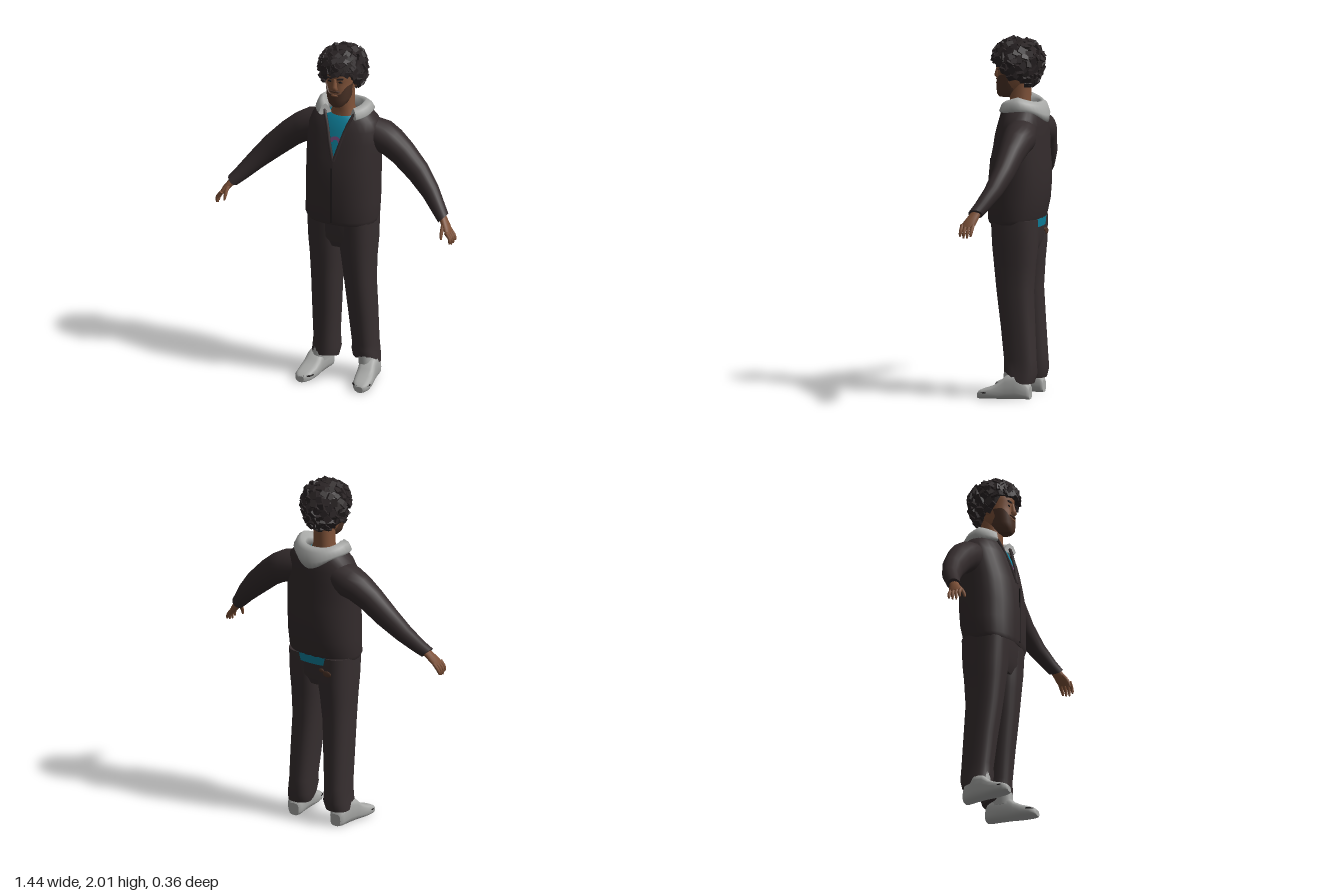
import * as THREE from 'three';
import { mergeGeometries } from 'three/addons/utils/BufferGeometryUtils.js';

const V = (x, y, z) => new THREE.Vector3(x, y, z);
const mat = (name, color, side = THREE.FrontSide) => {
  const m = new THREE.MeshStandardMaterial({ color, side });
  m.name = name;
  return m;
};

// Skin a list of rings; open rings leave a gap between last and first point
function loft(rings, { open = false, caps = true } = {}) {
  const n = rings[0].length, pos = [], idx = [];
  rings.forEach(r => r.forEach(p => pos.push(p.x, p.y, p.z)));
  for (let i = 0; i < rings.length - 1; i++)
    for (let j = 0; j < (open ? n - 1 : n); j++) {
      const k = (j + 1) % n, a = i * n + j, b = i * n + k;
      idx.push(a, b, a + n, b, b + n, a + n);
    }
  if (caps && !open) [rings[0], rings[rings.length - 1]].forEach((r, e) => {
    const s = pos.length / 3, c = V(0, 0, 0);
    r.forEach(p => { pos.push(p.x, p.y, p.z); c.addScaledVector(p, 1 / n); });
    pos.push(c.x, c.y, c.z);
    for (let j = 0; j < n; j++) {
      const k = (j + 1) % n;
      if (e) idx.push(s + j, s + k, s + n); else idx.push(s + k, s + j, s + n);
    }
  });
  // Turn the faces outward if the volume is negative
  let vol = 0;
  const at = i => V(pos[3 * i], pos[3 * i + 1], pos[3 * i + 2]);
  for (let t = 0; t < idx.length; t += 3) vol += at(idx[t]).dot(at(idx[t + 1]).cross(at(idx[t + 2])));
  if (vol < 0) idx.reverse();
  const g = new THREE.BufferGeometry();
  g.setAttribute('position', new THREE.Float32BufferAttribute(pos, 3));
  g.setIndex(idx);
  g.computeVertexNormals();
  return g;
}

// Superellipse ring with centre c, half-axes u and v; a0 opens it about v
function ring(c, u, v, n = 2.3, count = 28, a0 = 0, open = false) {
  const pw = s => Math.sign(s) * Math.abs(s) ** (2 / n);
  return Array.from({ length: count }, (_, i) => {
    const a = a0 + (2 * Math.PI - 2 * a0) * i / (open ? count - 1 : count);
    return c.clone().addScaledVector(u, pw(Math.sin(a))).addScaledVector(v, pw(Math.cos(a)));
  });
}
// Horizontal ring from its half-width, front z and back z
const level = (y, rx, zf, zb, cx = 0, n = 2.3, a0 = 0, open = false) =>
  ring(V(cx, y, (zf + zb) / 2), V(rx, 0, 0), V(0, 0, (zf - zb) / 2), n, 28, a0, open);

// Limb along points [x, y, z, half-thickness, half-depth in z]
function limb(pts, count = 16) {
  return loft(pts.map((p, i) => {
    const a = pts[Math.max(0, i - 1)], b = pts[Math.min(pts.length - 1, i + 1)];
    const d = V(b[0] - a[0], b[1] - a[1], 0).normalize();
    return ring(V(p[0], p[1], p[2]), V(-d.y, d.x, 0).multiplyScalar(p[3]), V(0, 0, p[4]), 2, count);
  }));
}

function mirror(g) {
  const m = g.clone().scale(-1, 1, 1);
  if (m.index) m.index.array.reverse();
  return m;
}

export function createModel() {
  const root = new THREE.Group();
  root.name = 'standingMan';
  const M = {
    jacket: mat('jacketCloth', 0x332b2c, THREE.DoubleSide), trousers: mat('trouserCloth', 0x372f30, THREE.DoubleSide),
    hair: mat('hairBlack', 0x2a2425), skin: mat('skin', 0x7d5138), beard: mat('beardBrown', 0x4c3327),
    shirt: mat('shirtBlue', 0x0e7f9a), print: mat('printPurple', 0x76497a),
    grey: mat('lightGrey', 0xa9aaa8, THREE.DoubleSide), dark: mat('darkDetail', 0x1b1819)
  };
  const add = (name, g, m) => {
    const mesh = new THREE.Mesh(g, m);
    mesh.name = name;
    root.add(mesh);
    return mesh;
  };
  const pair = (name, g, m) => { add(name + 'Left', g, m); add(name + 'Right', mirror(g), m); };
  const blob = (x, y, z, rx, ry, rz) => new THREE.SphereGeometry(1, 14, 10).scale(rx, ry, rz).translate(x, y, z);

  // Jacket body, open in a V from the chest to the collar
  const body = [
    [0.975, 0.2, 0.152, -0.143], [1.0, 0.21, 0.16, -0.153], [1.1, 0.211, 0.16, -0.172], [1.2, 0.211, 0.16, -0.18],
    [1.3, 0.212, 0.15, -0.178], [1.36, 0.213, 0.138, -0.172], [1.45, 0.213, 0.118, -0.168], [1.52, 0.208, 0.1, -0.162],
    [1.57, 0.19, 0.08, -0.155], [1.61, 0.15, 0.062, -0.14], [1.64, 0.108, 0.052, -0.115]];
  add('jacketBody', loft(body.map(([y, rx, zf, zb], i) => {
    const w = Math.max(0, (y - 1.36) * 0.31);
    const r = level(y, rx, zf, zb, 0, 2.3, Math.asin((w / rx) ** 1.15), true);
    if (i < 2) r.forEach(p => { p.y += 0.016 * THREE.MathUtils.smoothstep(-p.z, 0, 0.14); });
    return r;
  }), { open: true }), M.jacket);
  add('zip', new THREE.BoxGeometry(0.006, 0.33, 0.006).translate(0, 1.155, 0.159), M.dark);
  pair('lapel', new THREE.TubeGeometry(new THREE.CatmullRomCurve3([
    V(0.002, 1.355, 0.139), V(0.03, 1.45, 0.118), V(0.056, 1.54, 0.088), V(0.085, 1.61, 0.058), V(0.115, 1.655, 0.02)
  ]), 16, 0.009, 6), M.jacket);
  pair('sleeve', limb([
    [0.12, 1.5, -0.055, 0.08, 0.085], [0.21, 1.468, -0.065, 0.092, 0.095], [0.27, 1.44, -0.061, 0.085, 0.085],
    [0.34, 1.39, -0.053, 0.078, 0.073], [0.44, 1.3, -0.038, 0.069, 0.061], [0.53, 1.21, -0.005, 0.054, 0.052],
    [0.6, 1.135, 0.04, 0.042, 0.044], [0.638, 1.098, 0.066, 0.036, 0.041]], 20), M.jacket);

  // Shirt, its purple arch and the strip showing under the back hem
  add('shirt', loft([[1.28, 0.17, 0.14, -0.1], [1.36, 0.17, 0.126, -0.1], [1.45, 0.165, 0.106, -0.1],
    [1.52, 0.155, 0.088, -0.1], [1.57, 0.13, 0.068, -0.1], [1.605, 0.082, 0.05, -0.08]].map(([y, rx, zf, zb], i) => {
    const r = level(y, rx, zf, zb);
    if (i === 5) r.forEach(p => { p.y -= 0.2 * Math.max(0, p.z); });
    return r;
  })), M.shirt);
  add('shirtPrint', new THREE.RingGeometry(0.016, 0.036, 20, 1, 0, Math.PI).rotateX(-0.23).translate(0, 1.455, 0.1085), M.print);
  add('shirtHem', loft([level(0.955, 0.17, 0.08, -0.144), level(1.02, 0.18, 0.08, -0.149)]), M.shirt);

  // Hood folded round the neck and hanging to a point behind
  const hood = [];
  for (let i = 0; i <= 28; i++) {
    const a = (i / 28 - 0.5) * 4.8, s = Math.sin(a), c = Math.cos(a), b = Math.max(0, c), f = Math.max(0, -c);
    const at = (rx, rz, y) => V(rx * s, y, -0.03 - rz * c);
    hood.push([
      at(0.085, 0.075, 1.6), at(0.1, 0.09, 1.65 - 0.03 * f), at(0.125, 0.11, 1.685 - 0.035 * b - 0.04 * f),
      at(0.152, 0.132, 1.665 - 0.035 * b - 0.035 * f), at(0.168, 0.147, 1.625 - 0.05 * b ** 3 - 0.03 * f),
      at(0.15, 0.142, 1.6 - 0.065 * b ** 4 - 0.01 * f)]);
  }
  add('hood', loft(hood), M.grey);

  // Trousers
  [1, -1].forEach(s => {
    const g = loft([[0.1, 0.055, 0.197, 0.042, -0.125], [0.14, 0.045, 0.192, 0.045, -0.14], [0.22, 0.05, 0.185, 0.045, -0.135],
      [0.4, 0.035, 0.185, 0.065, -0.125], [0.6, 0.02, 0.182, 0.092, -0.115], [0.75, 0.004, 0.187, 0.108, -0.125],
      [0.85, -0.01, 0.195, 0.118, -0.135], [1.0, -0.01, 0.2, 0.125, -0.138]].map(([y, xi, xo, zf, zb], i) => {
      const r = level(y, (xo - xi) / 2, zf, zb, (xo + xi) / 2, 2.5);
      const lift = [s > 0 ? 0.065 : 0.03, s > 0 ? 0.05 : 0.02][i] || 0;
      r.forEach(p => { p.y += lift * THREE.MathUtils.smoothstep(p.z, -0.08, 0.04) - (i ? 0 : 0.012); });
      return r;
    }));
    add(s > 0 ? 'trouserLegLeft' : 'trouserLegRight', s > 0 ? g : mirror(g), M.trousers);
  });
  add('trouserSeat', loft([level(0.82, 0.16, 0.095, -0.11), level(0.88, 0.192, 0.118, -0.135), level(1.0, 0.2, 0.125, -0.139)]), M.trousers);
  add('trouserPatch', mergeGeometries([blob(-0.1, 0.91, -0.135, 0.028, 0.018, 0.006), blob(-0.065, 0.925, -0.136, 0.018, 0.012, 0.006)]), M.beard);

  // Shoes, toes turned slightly out
  const shoeX = z => 0.14 + 0.13 * (z + 0.11);
  pair('shoe', loft([[-0.11, 0.033, 0.07], [-0.095, 0.047, 0.1], [-0.03, 0.051, 0.15], [0.02, 0.052, 0.135], [0.06, 0.054, 0.095],
    [0.1, 0.055, 0.072], [0.15, 0.048, 0.055], [0.172, 0.035, 0.045], [0.181, 0.02, 0.035]].map(([z, rx, h]) =>
    ring(V(shoeX(z), h / 2, z), V(rx, 0, 0), V(0, h / 2, 0), 3, 20))), M.grey);
  pair('shoeAnkle', loft([level(0.08, 0.046, 0.045, -0.09, 0.143), level(0.19, 0.045, 0.04, -0.09, 0.135)]), M.grey);
  pair('toeTrim', blob(shoeX(0.135), 0.036, 0.135, 0.0535, 0.012, 0.044), M.dark);

  // Hands: palm, four curled fingers and a thumb
  const hand = [limb([[0.625, 1.112, 0.06, 0.022, 0.028], [0.648, 1.082, 0.075, 0.02, 0.032],
    [0.672, 1.052, 0.09, 0.018, 0.038], [0.688, 1.028, 0.098, 0.012, 0.036]])];
  [[0.068, 0.982], [0.089, 0.973], [0.11, 0.97], [0.13, 0.98]].forEach(([z, y], i) => hand.push(limb([
    [0.68, 1.042, z, 0.011, 0.011], [0.704, 1.012, z + 0.002, 0.01, 0.01],
    [0.713 - 0.002 * i, 0.995, z + 0.004, 0.009, 0.009], [0.714 - 0.003 * i, y, z + 0.005, 0.005, 0.005]], 8)));
  hand.push(limb([[0.652, 1.075, 0.1, 0.012, 0.014], [0.655, 1.045, 0.125, 0.011, 0.012],
    [0.656, 1.02, 0.138, 0.009, 0.01], [0.658, 1.0, 0.143, 0.005, 0.006]], 8));
  pair('hand', mergeGeometries(hand), M.skin);

  // Neck, head and face
  add('neck', loft([level(1.555, 0.095, 0.055, -0.08), level(1.6, 0.075, 0.048, -0.075), level(1.64, 0.058, 0.045, -0.07),
    level(1.76, 0.056, 0.05, -0.075)]), M.skin);
  add('head', loft([[1.675, 0.03, 0.106, 0.03], [1.69, 0.048, 0.115, 0.01], [1.72, 0.062, 0.117, -0.03], [1.76, 0.071, 0.117, -0.065],
    [1.8, 0.075, 0.115, -0.085], [1.825, 0.076, 0.112, -0.095], [1.85, 0.078, 0.119, -0.105], [1.9, 0.078, 0.115, -0.11],
    [1.94, 0.065, 0.095, -0.09]].map(([y, rx, f, b]) => level(y, rx, f, b))), M.skin);
  add('beard', loft([level(1.67, 0.032, 0.109, 0.03), level(1.688, 0.051, 0.12, 0.005), level(1.72, 0.066, 0.122, -0.02),
    level(1.752, 0.076, 0.1215, -0.03).map(p => p.setY(p.y + 0.05 * THREE.MathUtils.smoothstep(Math.abs(p.x), 0.03, 0.076)))]), M.beard);
  add('moustache', blob(0, 1.768, 0.114, 0.034, 0.008, 0.01), M.beard);
  add('lips', blob(0, 1.745, 0.119, 0.022, 0.007, 0.007), M.skin);
  add('nose', loft([level(1.772, 0.014, 0.12, 0.1), level(1.785, 0.019, 0.137, 0.1), level(1.8, 0.014, 0.134, 0.1),
    level(1.845, 0.008, 0.122, 0.1)]), M.skin);
  pair('eye', blob(0.031, 1.825, 0.107, 0.013, 0.006, 0.004), M.dark);
  pair('eyebrow', new THREE.BoxGeometry(0.034, 0.008, 0.008).rotateY(0.2).rotateZ(0.1).translate(0.033, 1.847, 0.113), M.hair);
  pair('ear', blob(0.08, 1.8, 0.0, 0.01, 0.03, 0.018), M.skin);

  // Hair: faceted cap with a high front edge, covered in angular tufts
  let seed = 7;
  const rnd = () => (seed = (seed * 16807) % 2147483647) / 2147483647;
  const low = a => { // lowest cosine of the cap at each angle from the front
    const d = Math.abs(Math.atan2(Math.sin(a), Math.cos(a)));
    return -0.05 - 0.55 * THREE.MathUtils.smoothstep(d, 0.8, 1.35) - 0.26 * THREE.MathUtils.smoothstep(d, 1.6, 2.6);
  };
  const hairAt = (a, t, k = 1) => {
    const th = t * Math.acos(low(a)), c = Math.cos(th), r = Math.sin(th) ** 0.8 * k;
    return V(0.127 * r * Math.sin(a), 1.882 + (c > 0 ? 0.107 : 0.17) * c, 0.138 * r * Math.cos(a));
  };
  const cap = [];
  for (let i = 0; i <= 8; i++) cap.push(Array.from({ length: 22 }, (_, j) =>
    hairAt(j / 22 * 2 * Math.PI, Math.max(0.03, i / 8), i ? 0.96 + 0.08 * rnd() : 1)));
  cap.push(cap[8].map(p => V(p.x * 0.6, p.y + 0.01, p.z * 0.6)));
  const parts = [loft(cap).toNonIndexed()];
  for (let i = 0; i < 150; i++) {
    const p = hairAt(i * 2.39996, Math.sqrt((i + 0.5) / 150) * 0.98);
    const q = new THREE.Quaternion().setFromUnitVectors(V(0, 0, 1), p.clone().sub(V(0, 1.87, 0)).normalize());
    const g = new THREE.BoxGeometry(0.03 + 0.016 * rnd(), 0.026 + 0.014 * rnd(), 0.018);
    g.rotateZ(rnd() * 3).rotateX((rnd() - 0.5) * 0.8).rotateY((rnd() - 0.5) * 0.8);
    parts.push(g.applyQuaternion(q).translate(p.x, Math.min(p.y, 1.984), p.z).toNonIndexed());
  }
  parts.forEach(g => { g.deleteAttribute('uv'); g.computeVertexNormals(); });
  add('hair', mergeGeometries(parts), M.hair);
  return root;
}
